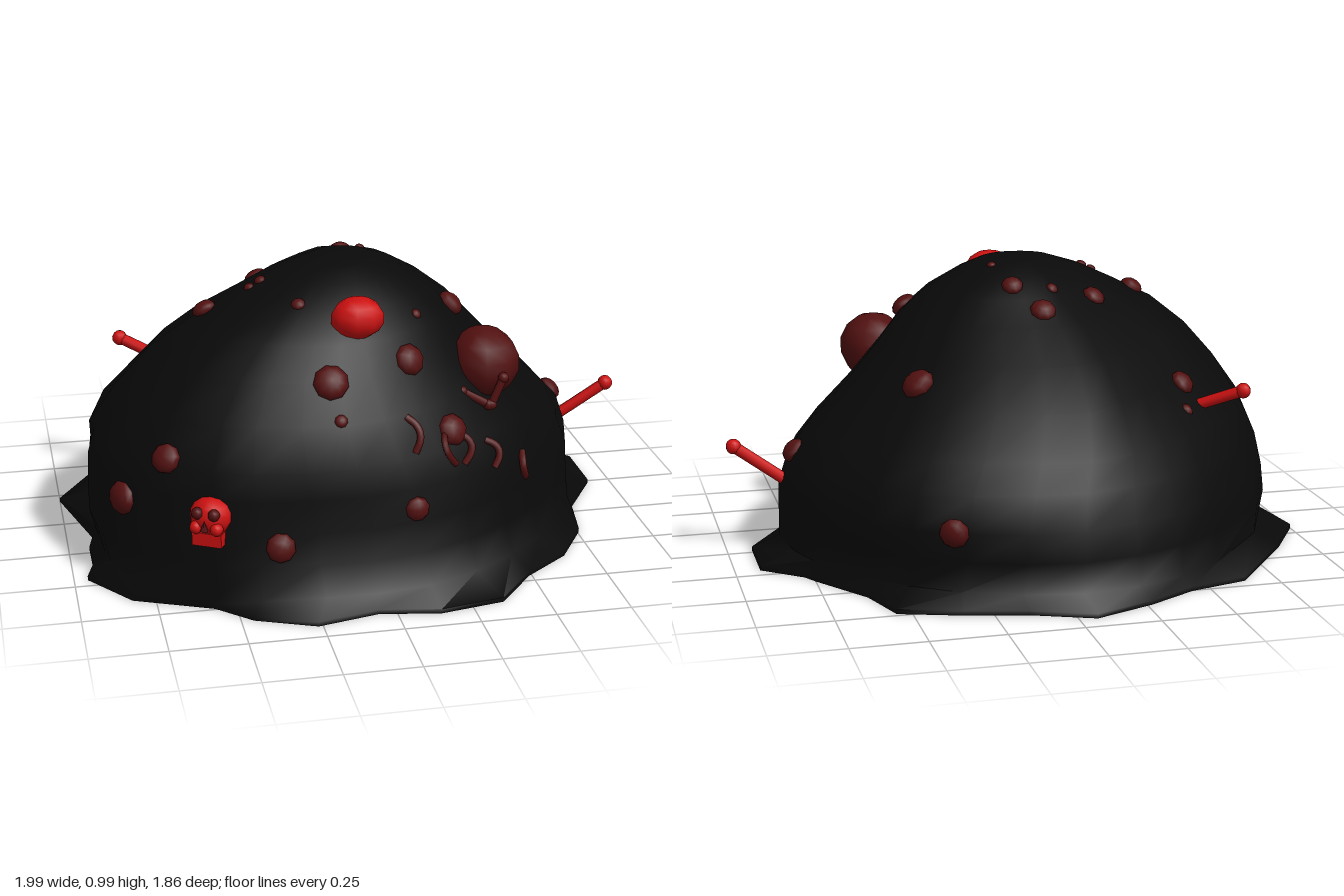
import * as THREE from 'three';
import { toCreasedNormals } from 'three/addons/utils/BufferGeometryUtils.js';

const black = new THREE.MeshStandardMaterial({ color: 0x090909 });
const darkRed = new THREE.MeshStandardMaterial({ color: 0x521010 });
const red = new THREE.MeshStandardMaterial({ color: 0xcc1010 });
const V = (a) => new THREE.Vector3(...a);

// Ragged hem on the ground: x, z, running from the back round the left side
const hem = [
  [-0.06, -0.93], [0.14, -0.85], [0.35, -0.8], [0.55, -0.735], [0.61, -0.56], [0.75, -0.36],
  [0.78, -0.31], [0.915, -0.2], [0.915, 0.02], [0.79, 0.22], [0.755, 0.42], [0.65, 0.59],
  [0.49, 0.715], [0.355, 0.88], [0.14, 0.92], [-0.06, 0.885], [-0.265, 0.93], [-0.46, 0.85],
  [-0.57, 0.745], [-0.825, 0.635], [-0.955, 0.457], [-0.93, 0.37], [-0.93, 0.23], [-0.91, 0.14],
  [-1, -0.195], [-0.88, -0.39], [-0.64, -0.7], [-0.435, -0.755], [-0.265, -0.85],
];
// Dome sections: y, min x, max x, min z, max z
const sections = [
  [0.05, -0.9, 0.82, -0.83, 0.84], [0.15, -0.93, 0.82, -0.82, 0.8], [0.25, -0.93, 0.82, -0.81, 0.775],
  [0.36, -0.93, 0.78, -0.76, 0.765], [0.45, -0.91, 0.7, -0.7, 0.75],
  [0.58, -0.82, 0.56, -0.585, 0.7], [0.7, -0.715, 0.45, -0.43, 0.61],
  [0.8, -0.59, 0.36, -0.28, 0.545], [0.88, -0.43, 0.26, -0.16, 0.45],
  [0.94, -0.3, 0.155, -0.08, 0.355], [0.975, -0.19, 0.07, 0.03, 0.26],
];

// Lopsided dome: each quadrant of a section has its own squareness
function domeGeometry() {
  const n = hem.length;
  const pos = [];
  const index = [];
  hem.forEach(([x, z]) => pos.push(x, 0, z));
  hem.forEach(([x, z]) => pos.push(x, 0.015, z));
  for (const [y, x0, x1, z0, z1] of sections) {
    const cx = (x0 + x1) / 2, cz = (z0 + z1) / 2;
    const k = Math.min(1, y / 0.6);
    for (const [hx, hz] of hem) {
      const a = Math.atan2(hz, hx + 0.06);
      const c = Math.cos(a), s = Math.sin(a);
      const e = s > 0 ? (c > 0 ? 1.75 - 0.1 * k : 3.6 - 1.3 * k) : (c > 0 ? 1.75 + 0.85 * k : 1.95 - 0.85 * k);
      let r = (Math.abs(2 * c / (x1 - x0)) ** e + Math.abs(2 * s / (z1 - z0)) ** e) ** (-1 / e);
      if (y < 0.4) r = Math.min(r, Math.hypot(hx - cx, hz - cz) * 0.99);
      pos.push(cx + r * c, y, cz + r * s);
    }
  }
  const rings = sections.length + 2;
  const top = rings * n, bottom = top + 1;
  pos.push(-0.06, 0.985, 0.14, -0.06, 0, 0);
  for (let j = 0; j < n; j++) {
    const q = (j + 1) % n;
    for (let i = 0; i < rings - 1; i++) {
      const a = i * n + j, b = i * n + q;
      index.push(a, a + n, b, b, a + n, b + n);
    }
    index.push((rings - 1) * n + j, top, (rings - 1) * n + q);
    index.push(bottom, j, q);
  }
  const g = new THREE.BufferGeometry();
  g.setAttribute('position', new THREE.Float32BufferAttribute(pos, 3));
  g.setIndex(index);
  return toCreasedNormals(g, 1.3);
}

export function createModel() {
  const model = new THREE.Group();
  const add = (parent, name, geometry, material, p = [0, 0, 0]) => {
    const m = new THREE.Mesh(geometry, material);
    m.name = name;
    m.position.set(...p);
    parent.add(m);
    return m;
  };
  const dome = add(model, 'dome', domeGeometry(), black);

  // Nearest skin point along a ray from the core, with its normal
  const core = new THREE.Vector3(-0.06, 0.25, 0.05);
  const onSkin = (p) => {
    const dir = V(p).sub(core).normalize();
    const start = core.clone().addScaledVector(dir, 3);
    const hit = new THREE.Raycaster(start, dir.clone().negate()).intersectObject(dome)[0];
    return hit ? { point: hit.point, normal: hit.face.normal } : { point: V(p), normal: dir };
  };

  // Warts: x, y, z, radius
  const ball = new THREE.SphereGeometry(1, 9, 7);
  const warts = [
    [-0.16, 0.69, 0.6, 0.06], [0.125, 0.74, 0.53, 0.055], [0.245, 0.5, 0.6, 0.055],
    [0.1, 0.295, 0.76, 0.042], [-0.36, 0.21, 0.78, 0.05], [-0.87, 0.305, 0.51, 0.058],
    [-0.7, 0.47, 0.585, 0.05], [-0.5, 0.82, 0.2, 0.042], [0.31, 0.78, 0.21, 0.048],
    [0.75, 0.365, -0.03, 0.045], [0.4, 0.655, -0.33, 0.058], [0.35, 0.25, -0.71, 0.05],
    [-0.07, 0.81, -0.19, 0.046], [0.01, 0.91, -0.1, 0.038], [-0.13, 0.88, -0.09, 0.022],
    [0.05, 0.965, 0.04, 0.016], [-0.3, 0.86, -0.04, 0.042], [-0.53, 0.555, -0.22, 0.046],
    [-0.22, 0.865, 0.38, 0.024], [-0.14, 0.58, 0.66, 0.022], [0.17, 0.83, 0.38, 0.018],
    [-0.35, 0.88, 0.21, 0.018], [-0.31, 0.89, 0.2, 0.02],
  ];
  for (const [x, y, z, r] of warts) {
    const { point, normal } = onSkin([x, y, z]);
    const w = add(model, 'wart', ball, darkRed, point.toArray());
    w.scale.set(r, r * 0.65, r);
    w.quaternion.setFromUnitVectors(new THREE.Vector3(0, 1, 0), normal);
  }
  add(model, 'largeBoil', ball, darkRed, [0.415, 0.635, 0.345]).scale.set(0.123, 0.122, 0.135);
  add(model, 'glowingBoil', ball, red, [-0.05, 0.872, 0.49]).scale.set(0.09, 0.07, 0.075);

  // Bones: shaft with knobs at the ends
  const bone = (name, from, to, r, material) => {
    const a = V(from), b = V(to), d = b.clone().sub(a);
    const g = new THREE.Group();
    g.name = name;
    const shaft = add(g, 'shaft', new THREE.CylinderGeometry(r, r, d.length(), 8), material,
      a.clone().add(b).multiplyScalar(0.5).toArray());
    shaft.quaternion.setFromUnitVectors(new THREE.Vector3(0, 1, 0), d.normalize());
    for (const p of [a, b]) add(g, 'knob', ball, material, p.toArray()).scale.setScalar(r * 1.35);
    model.add(g);
  };
  bone('leftBone', [0.78, 0.25, -0.03], [0.97, 0.385, 0], 0.02, red);
  bone('backBone', [-0.56, 0.48, -0.24], [-0.75, 0.56, -0.34], 0.02, red);
  bone('crossBone', [-0.64, 0.5, -0.18], [-0.54, 0.495, -0.335], 0.022, darkRed);
  bone('boilThorn', [0.45, 0.62, 0.475], [0.41, 0.53, 0.48], 0.014, darkRed);
  bone('boilThorn', [0.4, 0.53, 0.48], [0.31, 0.58, 0.47], 0.014, darkRed);

  // Curved claws lying on the skin: centre x, y, z, bend direction, height
  const claws = [
    [0.1, 0.52, 0.66, 0.025, 0.12], [0.395, 0.395, 0.57, 0.03, 0.1], [0.51, 0.31, 0.5, -0.03, 0.09],
    [0.21, 0.45, 0.64, -0.035, 0.11], [0.285, 0.445, 0.62, 0.035, 0.11],
  ];
  for (const [x, y, z, bend, h] of claws) {
    const { point: c, normal } = onSkin([x, y, z]);
    const side = new THREE.Vector3(0, 1, 0).cross(normal).normalize();
    const up = normal.clone().cross(side);
    const pts = [-1, -0.5, 0, 0.5, 1].map((t) => c.clone().addScaledVector(up, t * h / 2)
      .addScaledVector(side, bend * (0.5 - t * t)).addScaledVector(normal, 0.02 * (1 - t * t)));
    add(model, 'claw', new THREE.TubeGeometry(new THREE.CatmullRomCurve3(pts), 10, 0.012, 6), darkRed);
  }

  // Small skull stuck in the front right of the dome
  const skull = new THREE.Group();
  skull.name = 'skull';
  skull.position.set(-0.57, 0.3, 0.7);
  skull.rotation.y = -0.5;
  add(skull, 'cranium', ball, red, [0, 0.01, 0]).scale.set(0.072, 0.065, 0.06);
  add(skull, 'jaw', new THREE.BoxGeometry(0.1, 0.045, 0.06), red, [0, -0.057, 0.015]);
  for (const s of [-1, 1]) {
    add(skull, 'eye', ball, darkRed, [s * 0.028, 0.035, 0.048]).scale.setScalar(0.02);
    add(skull, 'cheek', ball, red, [s * 0.035, -0.015, 0.045]).scale.setScalar(0.022);
  }
  add(skull, 'nose', new THREE.ConeGeometry(0.014, 0.035, 5), darkRed, [0, 0, 0.062]);
  model.add(skull);
  return model;
}
